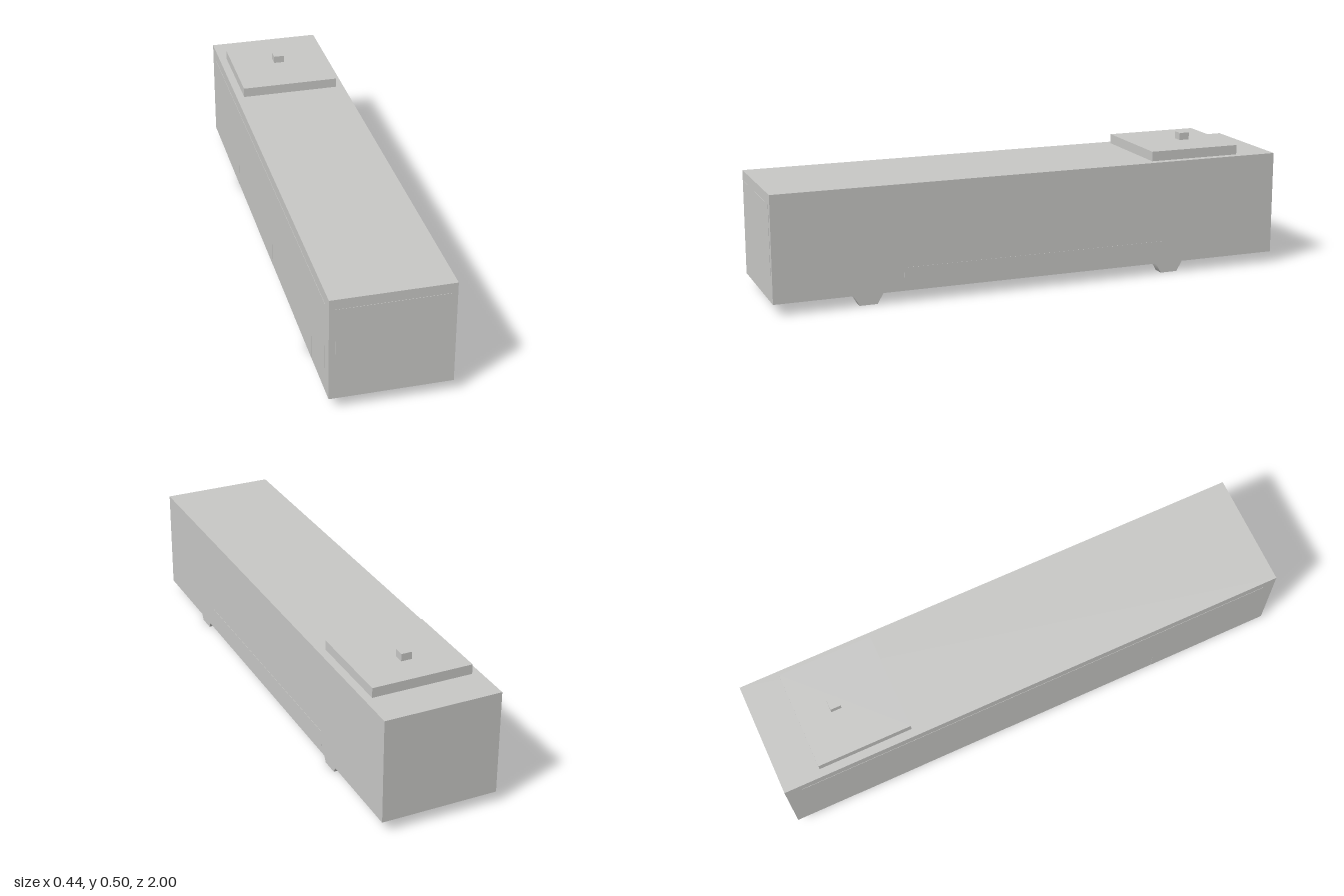
import * as THREE from 'three';

export function createModel() {
  const group = new THREE.Group();
  const paint = new THREE.MeshStandardMaterial({ color: 0xc6c6c4 });
  paint.name = 'plain grey';

  const add = (name, geometry, x = 0, y = 0, z = 0) => {
    const mesh = new THREE.Mesh(geometry, paint);
    mesh.name = name;
    mesh.position.set(x, y, z);
    group.add(mesh);
    return mesh;
  };
  // box given by its lower and upper corners
  const block = (name, [x0, y0, z0], [x1, y1, z1]) =>
    add(name, new THREE.BoxGeometry(x1 - x0, y1 - y0, z1 - z0),
      (x0 + x1) / 2, (y0 + y1) / 2, (z0 + z1) / 2);

  // long bus body
  const halfWidth = 0.22, floor = 0.043, roof = 0.44, proud = 0.001;
  block('body', [-halfWidth, floor, -0.999], [halfWidth, roof, 0.999]);

  // roof equipment
  block('roofUnit', [-0.19, roof, -0.85], [0.19, 0.477, -0.488]);
  block('roofVent', [-0.021, 0.477, -0.73], [0.02, 0.505, -0.69]);

  // windscreen and side skirt panel
  block('windscreen', [-0.198, 0.138, 0.995], [0.198, 0.402, 1]);
  block('skirtPanel', [halfWidth - 0.004, 0.07, -0.52], [halfWidth + proud, 0.13, 0.515]);

  // window band with three doors reaching down to the floor
  const low = 0.137, high = 0.396, sill = floor + 0.002;
  const glass = new THREE.Shape();
  glass.moveTo(-0.935, low);
  for (const [back, front] of [[-0.74, -0.48], [-0.12, 0.14], [0.505, 0.76]]) {
    glass.lineTo(back, low);
    glass.lineTo(back, sill);
    glass.lineTo(front, sill);
    glass.lineTo(front, low);
  }
  glass.lineTo(0.95, low);
  glass.lineTo(0.95, high);
  glass.lineTo(-0.935, high);
  glass.closePath();
  const glassGeometry = new THREE.ExtrudeGeometry(glass, { depth: 0.005, bevelEnabled: false });
  glassGeometry.rotateY(-Math.PI / 2);
  add('windowsAndDoors', glassGeometry, -halfWidth - proud + 0.005);

  // six-sided wheels, resting on a flat
  const radius = 0.067;
  const wheel = new THREE.CylinderGeometry(radius, radius, 0.044, 6).rotateZ(Math.PI / 2);
  for (const [end, z] of [['front', 0.646], ['rear', -0.56]]) {
    for (const [side, sign] of [['Left', 1], ['Right', -1]]) {
      add(`${end}${side}Wheel`, wheel, sign * 0.184, radius * Math.cos(Math.PI / 6), z);
    }
  }
  return group;
}
